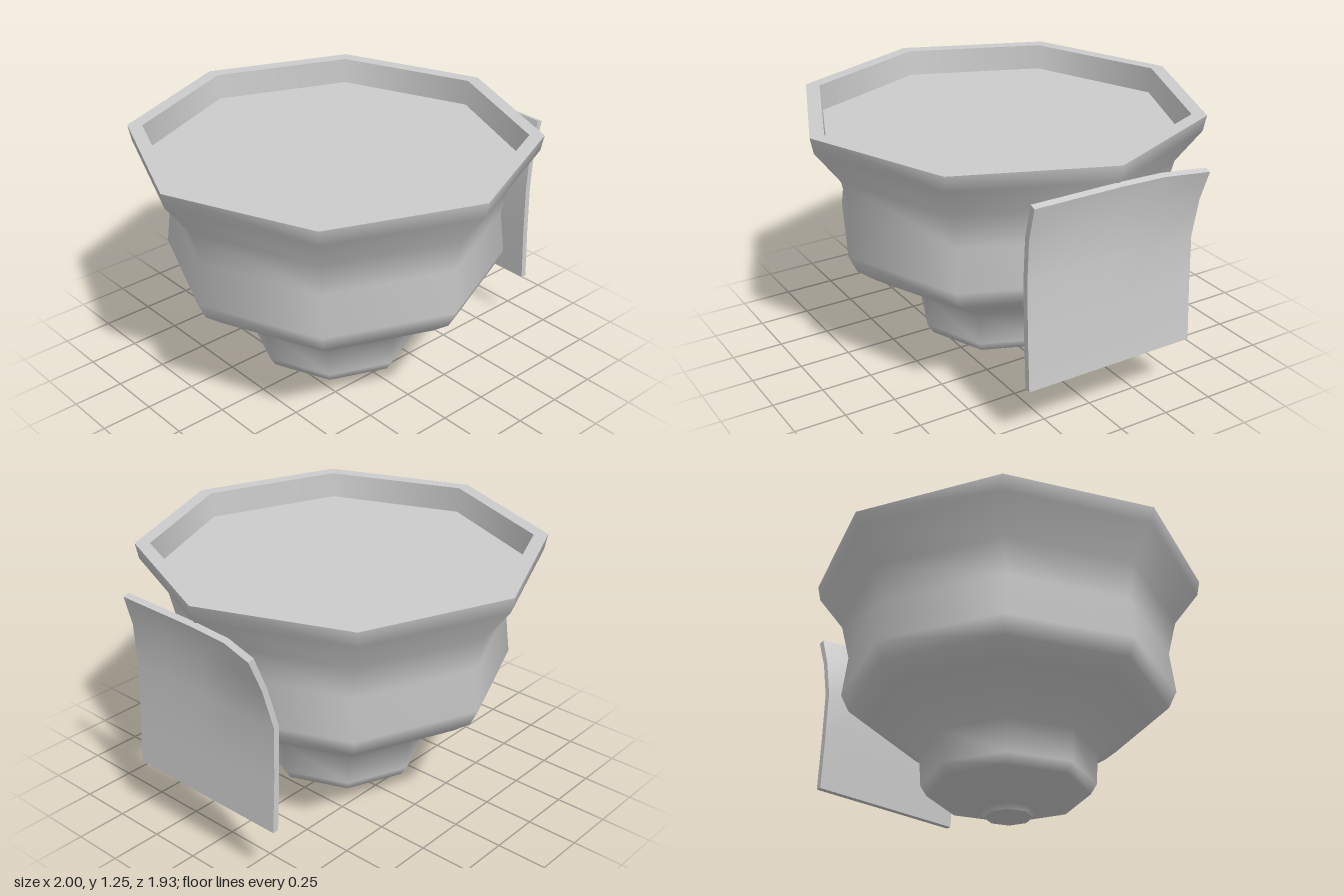
import * as THREE from 'three';

const material = new THREE.MeshStandardMaterial({ color: 0xcccccc });
const CENTRE_X = -0.035;

// Eight-sided turned surface; the profile runs so that its faces look outward.
function turned(name, profile) {
  const points = profile.map(([r, y]) => new THREE.Vector2(r, y));
  const mesh = new THREE.Mesh(new THREE.LatheGeometry(points, 8), material);
  mesh.name = name;
  mesh.position.x = CENTRE_X;
  return mesh;
}

// Thin upright plate, gently bowed, with its upper back corner curled outward.
function sidePanel() {
  const rows = [0.285, 0.55, 0.8, 1.0, 1.155];
  const bow = [0.89, 0.875, 0.867, 0.877, 0.915];
  const curl = [0, 0, 0, 0.042, 0.066];
  const columnCurl = [1, 0.17, 0, 0, 0]; // from back to front
  const geometry = new THREE.BoxGeometry(0.03, 1, 1, 1, 4, 4);
  const pos = geometry.attributes.position;
  for (let i = 0; i < pos.count; i++) {
    const row = Math.round((pos.getY(i) + 0.5) * 4);
    const column = Math.round((pos.getZ(i) + 0.5) * 4);
    const bend = curl[row] * columnCurl[column];
    pos.setXYZ(
      i,
      pos.getX(i) + bow[row] + bend,
      rows[row] - pos.getX(i) * (row === 4 ? 0.3 : 0),
      (column / 4 - 0.5) * 0.865 + bend * 0.3
    );
  }
  geometry.computeVertexNormals();
  const mesh = new THREE.Mesh(geometry, material);
  mesh.name = 'sidePanel';
  return mesh;
}

export function createModel() {
  const group = new THREE.Group();
  group.name = 'vessel';

  // Vessel: foot, neck, bulging body and flared lip
  group.add(turned('base', [[0, 0], [0.115, 0]]));
  group.add(turned('body', [
    [0.115, 0], [0.13, 0.025], [0.385, 0.11], [0.415, 0.16], [0.425, 0.32],
    [0.685, 0.48], [0.775, 0.55], [0.815, 0.635], [0.79, 0.84],
    [0.83, 1.01], [0.95, 1.17], [0.965, 1.245],
  ]));

  // Flat rim and the shallow recess inside it
  group.add(turned('rim', [[0.965, 1.245], [0.895, 1.245]]));
  group.add(turned('recessWall', [[0.895, 1.245], [0.885, 1.12]]));
  group.add(turned('recessFloor', [[0.885, 1.12], [0, 1.12]]));

  // Detached plate on the left side
  group.add(sidePanel());
  return group;
}
